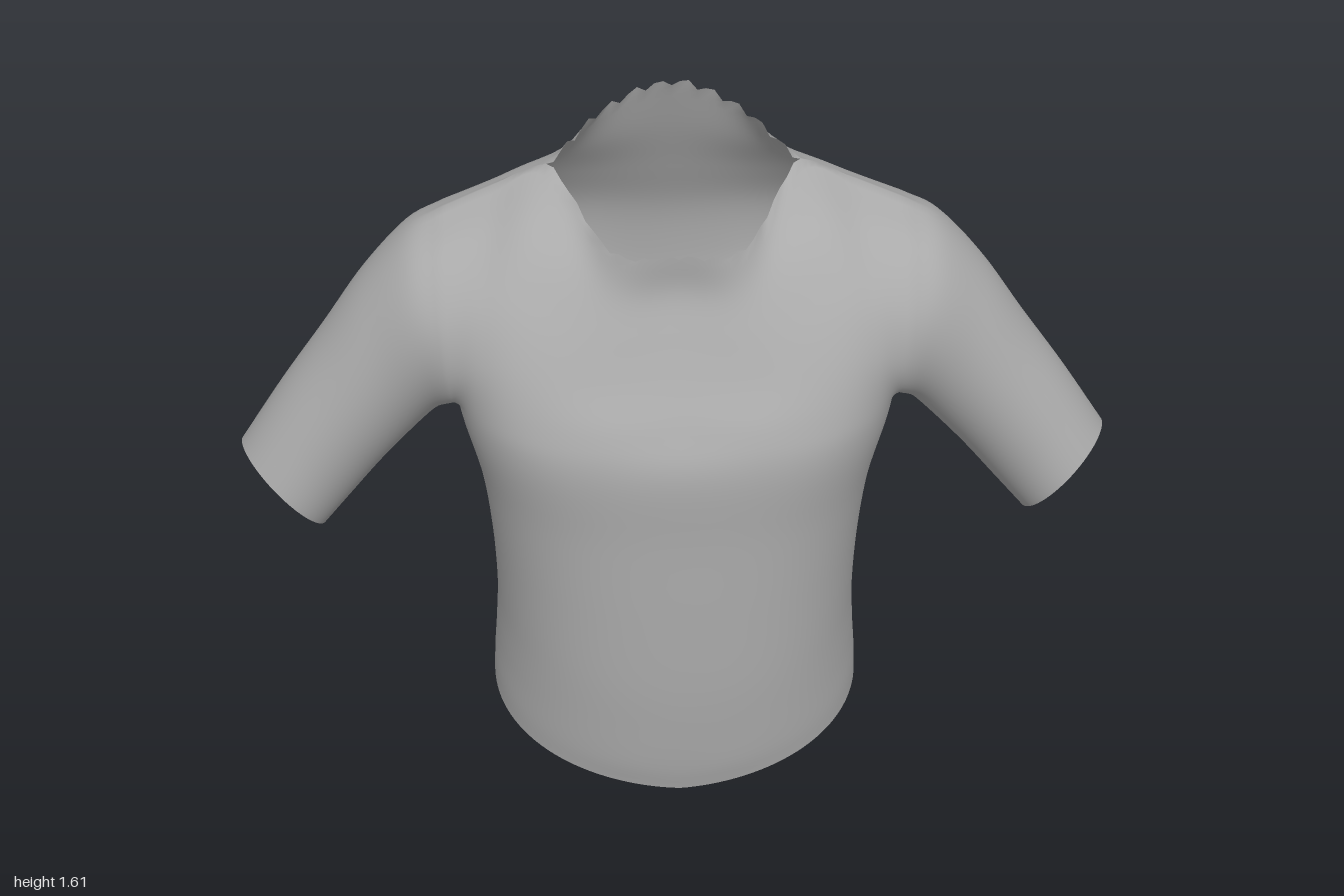
import * as THREE from 'three';
import { mergeGeometries, mergeVertices } from 'three/addons/utils/BufferGeometryUtils.js';

const V = (x, y, z) => new THREE.Vector3(x, y, z);
const spline = (pts) => new THREE.CatmullRomCurve3(pts, false, 'catmullrom', 0.5);

const COLS = 64;       // columns across each panel, seam to seam
const STEP = 6;        // samples between key rows
const SIDE_Z = -0.035; // depth of the side seam

// Trunk outline: height, half width, front z, back z
const TRUNK = [
  [0, 0.445, 0.325, -0.36], [0.09, 0.44, 0.342, -0.345], [0.15, 0.437, 0.348, -0.325],
  [0.25, 0.428, 0.356, -0.28], [0.4, 0.42, 0.365, -0.262], [0.6, 0.425, 0.366, -0.298],
  [0.8, 0.445, 0.367, -0.335], [0.95, 0.48, 0.37, -0.358],
];
const LEVELS = [0, 0.08, 0.2, 0.36, 0.58, 0.8, 1];

// Key columns above the armpit, from the centre out to the armhole, bottom to top
const FRONT = [
  [[0, 1.05, 0.335], [0, 1.14, 0.285], [0, 1.23, 0.24], [0, 1.32, 0.203], [0, 1.41, 0.203]],
  [[0.18, 1.05, 0.335], [0.175, 1.14, 0.285], [0.165, 1.23, 0.24], [0.15, 1.32, 0.195], [0.14, 1.405, 0.165]],
  [[0.34, 1.05, 0.29], [0.33, 1.17, 0.25], [0.32, 1.29, 0.18], [0.295, 1.4, 0.08], [0.27, 1.47, -0.08]],
  [[0.435, 1.04, 0.215], [0.425, 1.15, 0.215], [0.415, 1.27, 0.165], [0.4, 1.37, 0.06], [0.39, 1.425, -0.07]],
  [[0.485, 0.995, 0.12], [0.49, 1.09, 0.18], [0.495, 1.22, 0.165], [0.5, 1.335, 0.075], [0.5, 1.385, -0.05]],
];
const BACK = [
  [[0, 1.08, -0.345], [0, 1.21, -0.33], [0, 1.34, -0.28], [0, 1.47, -0.225], [0, 1.61, -0.175]],
  [[0.19, 1.07, -0.367], [0.19, 1.2, -0.355], [0.18, 1.32, -0.3], [0.165, 1.43, -0.235], [0.145, 1.54, -0.185]],
  [[0.34, 1.07, -0.345], [0.335, 1.2, -0.335], [0.32, 1.32, -0.27], [0.295, 1.415, -0.19], [0.27, 1.47, -0.08]],
  [[0.44, 1.05, -0.275], [0.43, 1.17, -0.29], [0.42, 1.29, -0.24], [0.4, 1.38, -0.165], [0.39, 1.425, -0.07]],
  [[0.485, 0.99, -0.17], [0.49, 1.09, -0.25], [0.495, 1.22, -0.245], [0.5, 1.335, -0.165], [0.5, 1.385, -0.05]],
];

// Sleeve sections: top x y, underside x y, front z, back z, slant of the opening
const SLEEVE = [
  [0.58, 1.335, 0.53, 0.905, 0.155, -0.24, 0], [0.68, 1.225, 0.59, 0.835, 0.128, -0.218, 0],
  [0.78, 1.08, 0.66, 0.755, 0.117, -0.203, 0], [0.88, 0.94, 0.735, 0.665, 0.115, -0.185, 0.01],
  [0.98, 0.79, 0.81, 0.58, 0.12, -0.16, 0.03],
];

function trunkAt(y) {
  let i = 0;
  while (i < TRUNK.length - 2 && y > TRUNK[i + 1][0]) i++;
  const a = TRUNK[i], b = TRUNK[i + 1];
  const t = (y - a[0]) / (b[0] - a[0]);
  return a.map((v, k) => v + (b[k] - v) * t);
}

// Point on the trunk: s runs from -1 to 1 between side seams, t from hem to armpit
function trunkPoint(s, t, front) {
  const cx = Math.abs(s) === 1 ? Math.sign(s) : Math.sin(s * Math.PI / 2);
  const ax = Math.abs(cx), n = 2.2 + 0.5 * t;
  const cz = Math.pow(Math.max(0, 1 - Math.pow(ax, n)), 1 / n);
  const hem = front ? 0.09 * Math.pow(ax, 1.25) : 0.09 + 0.06 * cz;
  const y = hem + (0.95 - hem) * t;
  const [, w, zf, zb] = trunkAt(y);
  const groove = front ? 0 : 0.018 * t * Math.exp(-((cx / 0.25) ** 2));
  return V(w * cx, y, SIDE_Z + ((front ? zf : zb) - SIDE_Z) * cz + groove);
}

// Panel as columns of points from hem to neck or shoulder
function makePanel(keys, front) {
  const rows = keys[0].map((_, r) => spline([-4, -3, -2, -1, 0, 1, 2, 3, 4].map((c) => {
    const [x, y, z] = keys[Math.abs(c)][r];
    return V(Math.sign(c) * x, y, z);
  })));
  const columns = [];
  for (let i = 0; i <= COLS; i++) {
    const s = 2 * i / COLS - 1;
    const pts = LEVELS.map((t) => trunkPoint(s, t, front));
    rows.forEach((row) => pts.push(row.getPoint(i / COLS)));
    columns.push(spline(pts).getPoints((pts.length - 1) * STEP));
  }
  return columns;
}

// Surface through a grid of points
function gridGeometry(grid, flip) {
  const nv = grid[0].length, pos = [], index = [];
  grid.forEach((line) => line.forEach((p) => pos.push(p.x, p.y, p.z)));
  for (let u = 0; u < grid.length - 1; u++) {
    for (let v = 0; v < nv - 1; v++) {
      const a = u * nv + v, b = a + nv, c = b + 1, d = a + 1;
      if (flip) index.push(a, c, b, a, d, c);
      else index.push(a, b, c, a, c, d);
    }
  }
  const g = new THREE.BufferGeometry();
  g.setAttribute('position', new THREE.Float32BufferAttribute(pos, 3));
  g.setIndex(index);
  return g;
}

// Sleeve as rings from the armhole to the cuff
function makeSleeve(armhole) {
  const n = armhole.length - 1;
  const lines = armhole.map((start, k) => {
    const phi = 2 * Math.PI * k / n, c = Math.cos(phi), q = Math.sin(phi);
    const pts = SLEEVE.map(([tx, ty, bx, by, zf, zb, slant]) => V(
      (tx + bx) / 2 - c * (tx - bx) / 2 - q * slant,
      (ty + by) / 2 - c * (ty - by) / 2 + q * slant,
      (zf + zb) / 2 + q * (zf - zb) / 2));
    return spline([start, ...pts]).getPoints(SLEEVE.length * STEP);
  });
  return lines[0].map((_, l) => lines.map((line) => line[l]));
}

export function createModel() {
  const front = makePanel(FRONT, true), back = makePanel(BACK, false);
  const top = front[0].length - 1, armpit = (LEVELS.length - 1) * STEP;

  // Join the side and shoulder seams, and fray the neckline
  for (let i = 0; i <= COLS; i++) {
    const s = Math.abs(2 * i / COLS - 1);
    for (let v = 0; v <= top; v++) {
      if ((s === 1 && v <= armpit) || (v === top && s >= 0.5)) {
        front[i][v].lerp(back[i][v], 0.5);
        back[i][v].copy(front[i][v]);
      }
    }
    if (s < 0.5) {
      front[i][top].y += 0.006 * Math.sin(i * 2.3);
      back[i][top].y = Math.min(1.61, back[i][top].y + 0.01 * Math.sin(i * 2.1));
    }
  }

  // Left armhole: up the front edge, down the back edge
  const armhole = [
    ...front[COLS].slice(armpit),
    ...back[COLS].slice(armpit, top).reverse(),
  ];
  const sleeve = makeSleeve(armhole);
  const mirrored = sleeve.map((ring) => ring.map((p) => V(-p.x, p.y, p.z)));

  // One welded cloth surface, so that the shading runs smoothly over the seams
  const cloth = mergeVertices(mergeGeometries([
    gridGeometry(front, false), gridGeometry(back, true),
    gridGeometry(sleeve, false), gridGeometry(mirrored, true),
  ]), 1e-4);
  cloth.computeVertexNormals();

  const grey = new THREE.MeshStandardMaterial({ color: 0xaaaaaa, side: THREE.DoubleSide });
  grey.name = 'grey cloth';
  const shirt = new THREE.Mesh(cloth, grey);
  shirt.name = 'shirt';
  const group = new THREE.Group();
  group.name = 'shortSleevedShirt';
  group.add(shirt);
  return group;
}
